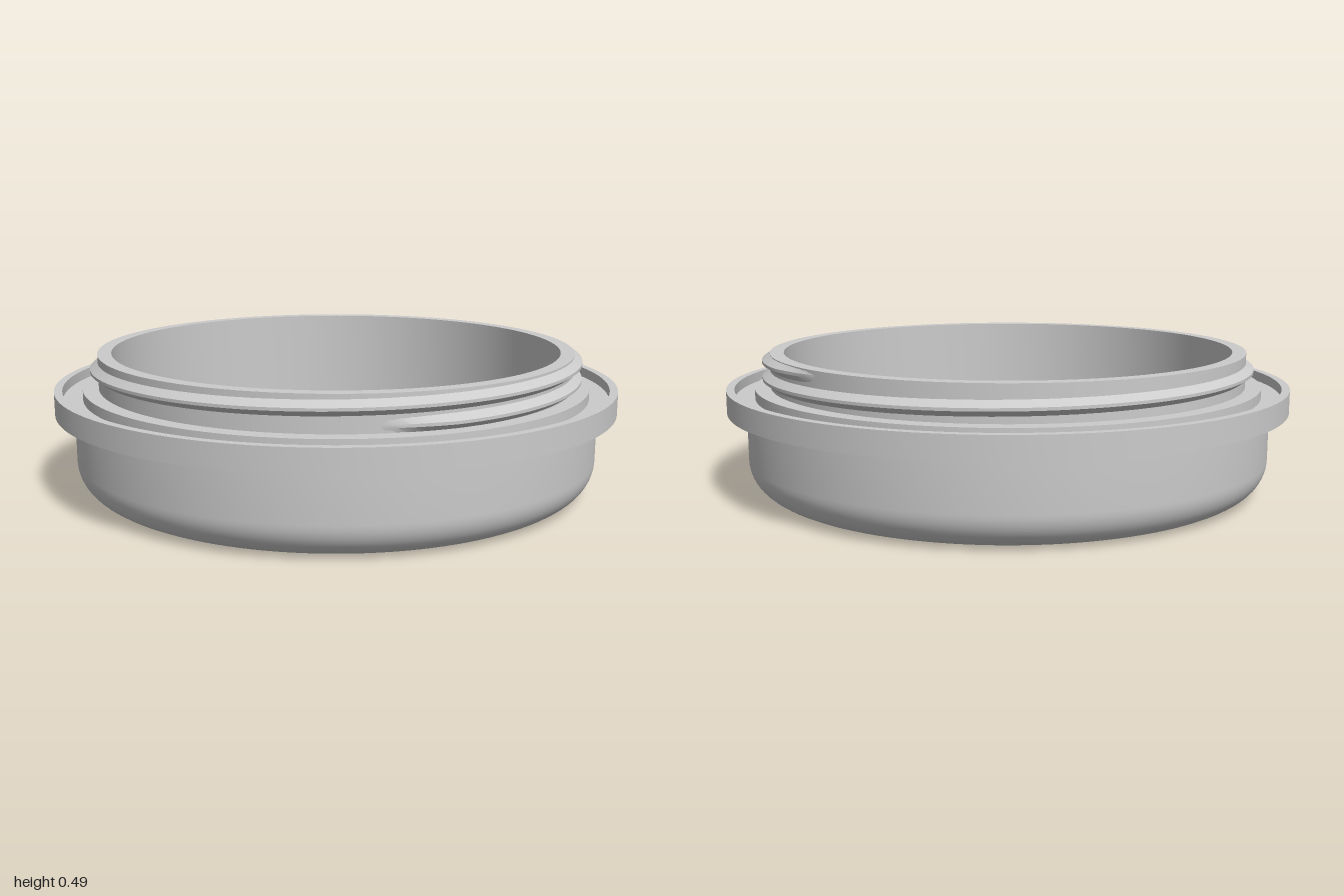
import * as THREE from 'three';
import { toCreasedNormals } from 'three/addons/utils/BufferGeometryUtils.js';

const SEGMENTS = 128;
const FLOOR = 0.13;      // floor and grille thickness
const OPENING = 0.555;   // radius of the grille opening
const material = new THREE.MeshStandardMaterial({ color: 0xcccccc });

function part(name, geometry) {
  const mesh = new THREE.Mesh(geometry, material);
  mesh.name = name;
  return mesh;
}

// Turned solid with crisp edges from a closed [radius, height] profile
function turned(name, profile) {
  const points = profile.map(([r, y]) => new THREE.Vector2(r, y));
  return part(name, toCreasedNormals(new THREE.LatheGeometry(points, SEGMENTS), 0.5));
}

// Single-start right-hand thread that fades into the neck at both ends
function threadGeometry() {
  const start = -Math.PI / 3, end = Math.PI * 7 / 3, fade = 0.3;
  const steps = 200, pitch = 0.06, root = 0.845;
  const section = [[0, -0.027], [0.03, -0.005], [0.03, 0.005], [0, 0.027]];
  const n = section.length, positions = [], index = [];
  for (let i = 0; i <= steps; i++) {
    const a = start + (end - start) * i / steps;
    const height = Math.min(1, (a - start) / fade, (end - a) / fade);
    for (const [depth, dy] of section) {
      const r = root + depth * height;
      const y = Math.min(0.489, 0.4 + pitch * a / (2 * Math.PI) + dy);
      positions.push(r * Math.cos(a), y, -r * Math.sin(a));
    }
    if (i === steps) break;
    for (let j = 0; j < n - 1; j++) {
      const p = i * n + j, q = p + n;
      index.push(p, q, p + 1, q + 1, p + 1, q);
    }
  }
  const geometry = new THREE.BufferGeometry();
  geometry.setAttribute('position', new THREE.Float32BufferAttribute(positions, 3));
  geometry.setIndex(index);
  return toCreasedNormals(geometry, 0.5);
}

// Three directions of parallel bars, a ring and a hub
function createGrille() {
  const grille = new THREE.Group();
  grille.name = 'grille';
  const spacing = 0.33, width = 0.042;
  for (let k = 0; k < 3; k++) {
    const direction = new THREE.Group();
    direction.name = 'barSet';
    direction.rotation.y = k * Math.PI / 3;
    for (const row of [-1, 0, 1]) {
      const z = row * spacing;
      const length = 2 * Math.sqrt(OPENING ** 2 - z ** 2) + 0.04;
      const bar = part('grilleBar', new THREE.BoxGeometry(length, FLOOR, width));
      bar.position.set(0, FLOOR / 2, z);
      direction.add(bar);
    }
    grille.add(direction);
  }
  grille.add(turned('grilleRing', [
    [0.315, 0], [0.378, 0], [0.378, FLOOR], [0.315, FLOOR], [0.315, 0],
  ]));
  const hub = part('grilleHub', new THREE.CylinderGeometry(0.105, 0.105, FLOOR, 48));
  hub.position.y = FLOOR / 2;
  grille.add(hub);
  return grille;
}

export function createModel() {
  const model = new THREE.Group();
  model.name = 'ventedCap';

  // Cup with rounded bottom edge, grooved flange and open neck
  const fillet = 0.12, body = 0.933;
  const profile = [[OPENING, 0]];
  for (let i = 0; i <= 12; i++) {
    const a = i / 12 * Math.PI / 2;
    profile.push([body - fillet + fillet * Math.sin(a), fillet - fillet * Math.cos(a)]);
  }
  profile.push(
    [body, 0.29], [1, 0.29], [1, 0.37], [0.972, 0.37],   // flange and lip
    [0.972, 0.335], [0.903, 0.335], [0.903, 0.37],       // groove
    [0.848, 0.37], [0.848, 0.49], [0.8, 0.49],           // neck
    [0.8, FLOOR], [OPENING, FLOOR], [OPENING, 0],        // inside wall and floor
  );
  model.add(turned('cup', profile));
  model.add(part('screwThread', threadGeometry()));
  model.add(createGrille());
  return model;
}
